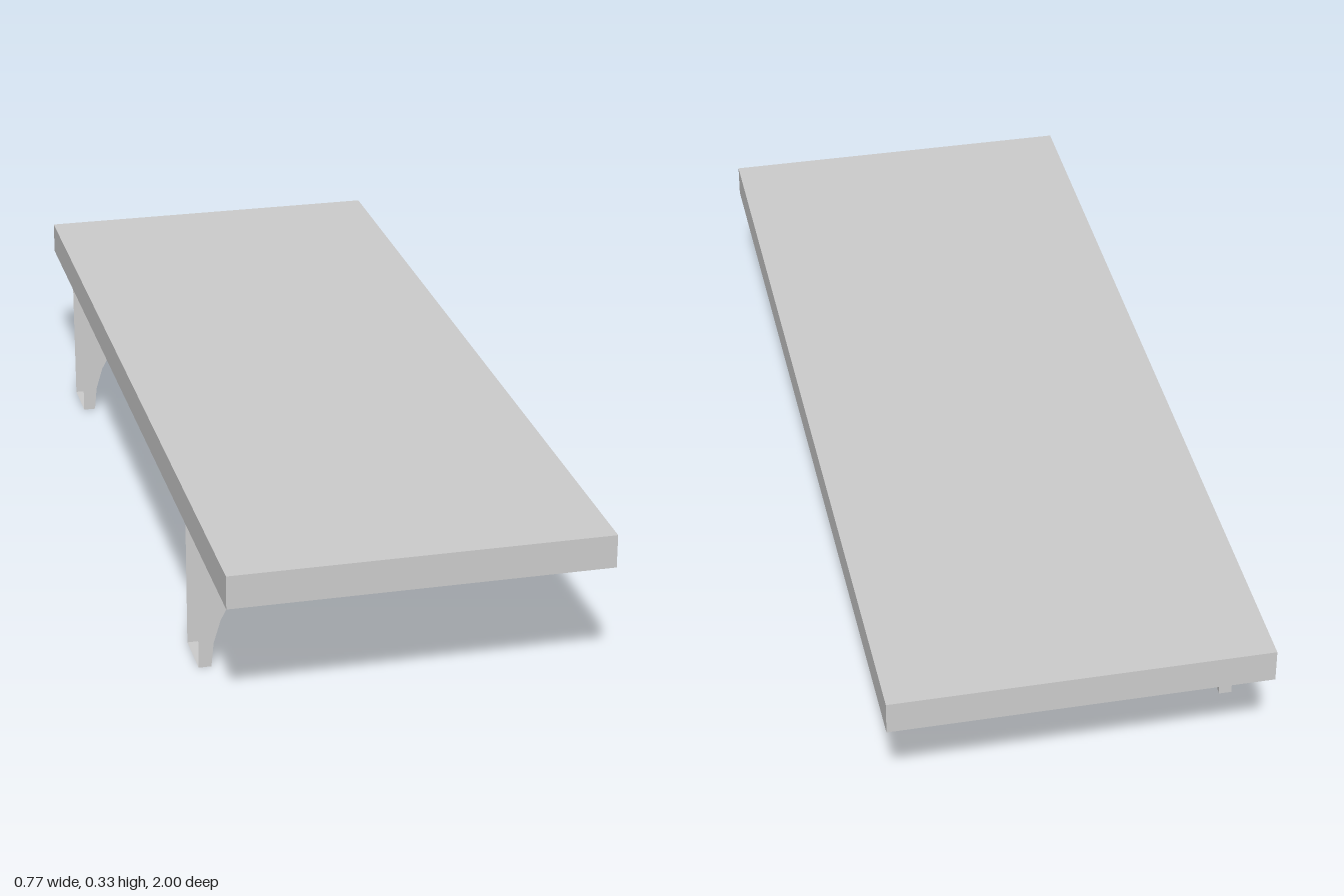
import * as THREE from 'three';

export function createModel() {
  const model = new THREE.Group();
  model.name = 'wallShelf';
  const solid = new THREE.MeshStandardMaterial({ color: 0xcccccc });
  const sheet = new THREE.MeshStandardMaterial({ color: 0xcccccc, side: THREE.DoubleSide });

  const backX = -0.385, boardBottom = 0.264, boardThickness = 0.069;
  const radius = boardBottom, arcX = -0.095; // quarter-circle centre at (arcX, 0)
  const width = 0.112, bracketZ = 0.671, steps = 8;

  const add = (parent, name, geometry, material, x, y, z) => {
    const mesh = new THREE.Mesh(geometry, material);
    mesh.name = name;
    mesh.position.set(x, y, z);
    parent.add(mesh);
  };

  // Board
  add(model, 'board', new THREE.BoxGeometry(0.77, boardThickness, 2), solid,
    0, boardBottom + boardThickness / 2, 0);

  // Bracket side profile: straight back, concave quarter-circle front
  const profile = new THREE.Shape();
  profile.moveTo(backX, 0);
  for (let i = 0; i <= steps; i++) {
    const a = (i / steps) * Math.PI / 2;
    profile.lineTo(arcX - radius * Math.cos(a), radius * Math.sin(a));
  }
  profile.lineTo(backX, boardBottom);
  const cheek = new THREE.ShapeGeometry(profile);
  const innerCheek = cheek.clone().rotateY(Math.PI).scale(-1, 1, 1);
  // Mirrored copy faces -z; restore outward winding
  innerCheek.setIndex([...innerCheek.index.array].reverse());
  innerCheek.computeVertexNormals();

  const arc = new THREE.CylinderGeometry(radius, radius, width, steps, 1, true, Math.PI, Math.PI / 2)
    .rotateX(Math.PI / 2);
  const footLength = arcX - radius - backX;
  const foot = new THREE.PlaneGeometry(footLength, width).rotateX(Math.PI / 2);

  // Hollow brackets, open at the wall side
  for (const [name, z] of [['frontBracket', bracketZ], ['rearBracket', -bracketZ]]) {
    const bracket = new THREE.Group();
    bracket.name = name;
    bracket.position.z = z;
    add(bracket, 'frontCheek', cheek, sheet, 0, 0, width / 2);
    add(bracket, 'rearCheek', innerCheek, sheet, 0, 0, -width / 2);
    add(bracket, 'curvedFace', arc, sheet, arcX, 0, 0);
    add(bracket, 'foot', foot, sheet, backX + footLength / 2, 0, 0);
    model.add(bracket);
  }
  return model;
}
